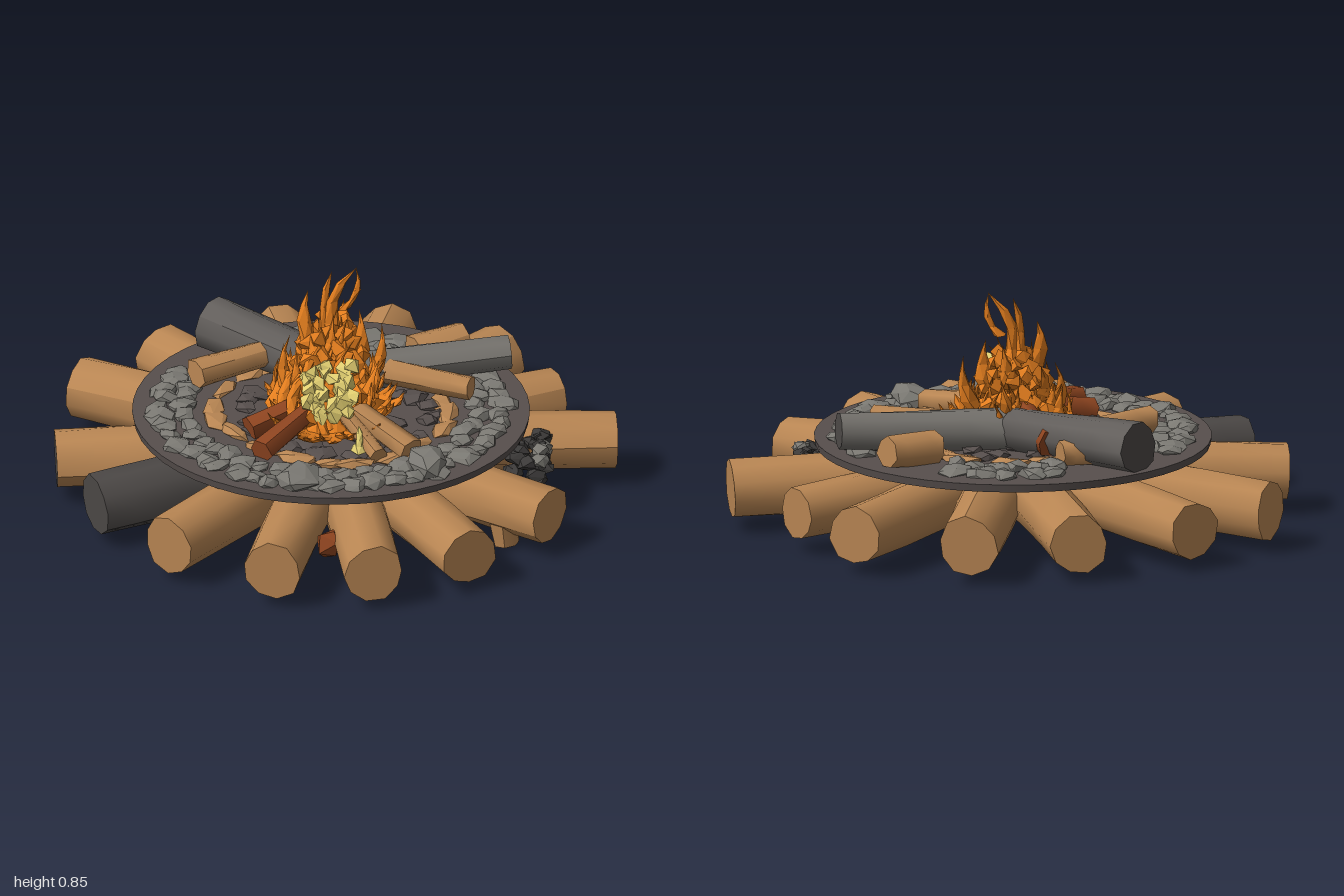
import * as THREE from 'three';
import { ConvexGeometry } from 'three/addons/geometries/ConvexGeometry.js';

const V = (x, y, z) => new THREE.Vector3(x, y, z);
const material = (name, color) => {
  const m = new THREE.MeshStandardMaterial({ color });
  m.name = name;
  return m;
};

export function createModel() {
  const model = new THREE.Group();
  let seed = 7;
  const rnd = (a = 0, b = 1) => {
    seed = (seed * 16807) % 2147483647;
    return a + (b - a) * (seed / 2147483647);
  };

  const wood = material('wood', 0xb98653);
  const ember = material('redWood', 0x8f4520);
  const ash = material('ashBed', 0x574f4d);
  const stone = material('stone', 0x7a7872);
  const burnt = material('burntWood', 0x74716c);
  const smoked = material('smokedWood', 0x625e5b);
  const charred = material('charredWood', 0x4c4846);
  const coal = material('coal', 0x3b3938);
  const flame = material('flame', 0xe27d1e);
  const flameCore = material('flameCore', 0xe0cd70);

  const add = (name, geo, mat, parent = model) => {
    const mesh = new THREE.Mesh(geo, mat);
    mesh.name = name;
    parent.add(mesh);
    return mesh;
  };
  const group = (name) => {
    const g = new THREE.Group();
    g.name = name;
    model.add(g);
    return g;
  };
  const flat = (geo) => {
    const g = geo.toNonIndexed();
    g.computeVertexNormals();
    return g;
  };

  // Uneven log from a to b, with smooth sides and sharp end faces
  function log(name, a, b, ra, rb, mat, parent, sides = 10, rough = 0.05) {
    const dir = b.clone().sub(a), len = dir.length();
    const geo = new THREE.CylinderGeometry(rb, ra, len, sides, 4);
    const p = geo.attributes.position, s = rnd(0, 6);
    for (let i = 0; i < p.count; i++) {
      const x = p.getX(i), z = p.getZ(i), y = p.getY(i), th = Math.atan2(z, x);
      const k = 1 + rough * (Math.sin(2 * th + s) + Math.sin(3 * th - s + y * 7) * 0.7);
      p.setXYZ(i, x * k, y, z * k);
    }
    geo.computeVertexNormals();
    geo.applyQuaternion(new THREE.Quaternion().setFromUnitVectors(V(0, 1, 0), dir.normalize()));
    geo.translate((a.x + b.x) / 2, (a.y + b.y) / 2, (a.z + b.z) / 2);
    return add(name, geo, mat, parent);
  }

  // Faceted lump: hull of scattered points on an ellipsoid
  function lump(name, c, sx, sy, sz, turn, mat, parent, n = 16) {
    const pts = [];
    for (let i = 0; i < n; i++) {
      const y = 1 - (2 * i + 1) / n, r = Math.sqrt(1 - y * y), a = i * 2.4 + rnd(-0.4, 0.4), k = rnd(0.85, 1.12);
      pts.push(V(r * Math.cos(a) * sx * k, y * sy * k, r * Math.sin(a) * sz * k));
    }
    const geo = new ConvexGeometry(pts);
    geo.rotateY(turn);
    geo.translate(c.x, c.y, c.z);
    return add(name, geo, mat, parent);
  }

  // Curved pointed tongue of fire
  function tongue(name, a, mid, b, r, mat, parent) {
    const curve = new THREE.QuadraticBezierCurve3(a, mid, b);
    const geo = new THREE.ConeGeometry(r, 1, 5, 4);
    const p = geo.attributes.position, s = rnd(0, 6);
    for (let i = 0; i < p.count; i++) {
      const t = p.getY(i) + 0.5, q = curve.getPoint(t);
      const w = 1 + 0.3 * Math.sin(t * 9 + s), c = Math.cos(t * 2 + s), n = Math.sin(t * 2 + s);
      const x = p.getX(i) * w, z = p.getZ(i) * w * 0.6;
      p.setXYZ(i, q.x + x * c - z * n, q.y, q.z + x * n + z * c);
    }
    return add(name, flat(geo), mat, parent);
  }

  // Wheel of base logs meeting under the middle, rising slightly inwards
  const base = group('baseLogs');
  const ends = [[-0.29, -0.905], [0.1, -0.95], [0.51, -0.82], [0.73, -0.53], [0.98, -0.2], [0.81, 0.41], [0.56, 0.76],
    [0.235, 0.925], [-0.125, 0.94], [-0.51, 0.78], [-0.8, 0.49], [-0.975, 0.15], [-0.945, -0.41], [-0.69, -0.7]];
  ends.forEach(([x, z], i) => {
    const outer = V(x, 0.14, z), inner = V(0, 0.175, 0);
    const cap = i === 11 ? charred : wood;
    if (i === 10) {
      const mid = outer.clone().lerp(inner, 0.48);
      log('baseLog', inner, mid, 0.115, 0.108, wood, base);
      log('charredLogEnd', mid, outer, 0.11, 0.106, charred, base);
    } else {
      log('baseLog', inner, outer, 0.115, i === 3 ? 0.095 : 0.107, [wood, cap, wood], base);
    }
  });
  log('logKnot', V(0.65, 0.0, 0.37), V(0.64, 0.12, 0.36), 0.045, 0.065, wood, base, 7);
  // Wood filling the gaps below the ash bed
  add('woodHub', flat(new THREE.CylinderGeometry(0.63, 0.4, 0.075, 14)), wood, base).position.y = 0.238;
  lump('glowingChip', V(0.05, 0.13, 0.68), 0.05, 0.06, 0.06, 0, ember, base, 10);

  // Ash bed resting on the logs
  const bed = new THREE.CylinderGeometry(0.705, 0.7, 0.028, 48);
  bed.scale(1, 1, 0.98);
  add('ashBed', bed, ash).position.set(-0.012, 0.288, -0.017);

  // Ring of closely packed stones, open at the back where the burnt logs lie
  const stones = group('stoneRing');
  const placeStones = (from, to, r, step, size) => {
    for (let d = from; d <= to; d += step) {
      const a = THREE.MathUtils.degToRad(d + rnd(-1.5, 1.5)), rr = r + rnd(-0.015, 0.015), s = size * rnd(0.85, 1.25);
      lump('stone', V(rr * Math.cos(a) - 0.012, 0.308, rr * Math.sin(a) - 0.017),
        s, rnd(0.02, 0.032), s * rnd(0.7, 1), rnd(0, 6), stone, stones);
    }
  };
  placeStones(-29, 204, 0.605, 7, 0.053);
  placeStones(-24, 200, 0.52, 8, 0.05);
  placeStones(252, 288, 0.57, 9, 0.06);
  placeStones(248, 292, 0.49, 8.5, 0.05);
  lump('largeStone', V(-0.07, 0.32, 0.56), 0.085, 0.05, 0.095, 0, stone, stones, 20);
  lump('largeStone', V(0.37, 0.325, 0.4), 0.065, 0.055, 0.11, 0.2, stone, stones, 20);

  // Wood chips and cinders inside the ring
  const litter = group('chipsAndCinders');
  for (let d = 0; d < 360; d += 18) {
    const a = THREE.MathUtils.degToRad(d + rnd(-5, 5)), r = rnd(0.39, 0.43);
    lump('woodChip', V(r * Math.cos(a), 0.308, r * Math.sin(a)), rnd(0.03, 0.055), 0.02, 0.085, -a, wood, litter, 12);
  }
  for (let i = 0; i < 30; i++) {
    const a = i * 2.4, r = rnd(0.22, 0.37), s = rnd(0.035, 0.06);
    lump('cinder', V(r * Math.cos(a), 0.308, r * Math.sin(a)), s, 0.02, s, a, ash, litter, 12);
  }

  // Large burnt logs at the back
  const fuel = group('firewood');
  log('burntLog', V(-0.03, 0.365, -0.18), V(-0.48, 0.385, -0.49), 0.085, 0.097, [smoked, charred, charred], fuel, 10, 0.06);
  log('burntLog', V(0.0, 0.365, -0.18), V(0.59, 0.395, -0.34), 0.075, 0.064, [burnt, charred, charred], fuel, 9, 0.06);
  // Fresh split logs lying around the fire
  [[-0.5, 0.385, -0.08, -0.27, 0.38, -0.28, 0.053], [0.13, 0.38, -0.2, 0.48, 0.38, -0.08, 0.045],
    [0.25, 0.35, -0.38, 0.41, 0.36, -0.5, 0.068], [0.31, 0.33, 0.33, 0.1, 0.375, 0.14, 0.048],
    [0.2, 0.325, 0.38, 0.06, 0.37, 0.16, 0.035], [-0.36, 0.345, -0.37, -0.2, 0.345, -0.44, 0.055],
  ].forEach(([a, b, c, d, e, f, r]) => log('splitLog', V(a, b, c), V(d, e, f), r, r * 0.9, wood, fuel, 7, 0.09));
  // Glowing red logs leaning into the flames
  [[-0.22, 0.33, 0.39, -0.06, 0.385, 0.14], [-0.28, 0.33, 0.22, -0.08, 0.38, 0.08], [-0.16, 0.36, -0.36, -0.05, 0.42, -0.1],
  ].forEach(([a, b, c, d, e, f]) => log('glowingLog', V(a, b, c), V(d, e, f), 0.048, 0.04, ember, fuel, 6, 0.09));

  // Flames: a solid heart wrapped in broad leaning tongues
  const fire = group('fire');
  tongue('flameHeart', V(-0.02, 0.3, 0.05), V(-0.01, 0.45, 0.0), V(0, 0.72, -0.08), 0.18, flame, fire);
  for (let i = 0; i < 60; i++) {
    const s = Math.sqrt((i + 0.5) / 60), a = i * 2.4;
    const x = -0.02 + 0.18 * s * Math.cos(a), z = 0.02 + 0.23 * s * Math.sin(a);
    const y = 0.31 + 0.14 * (1 - s), top = 0.4 + 0.25 * (1 - s) + rnd(0, 0.08);
    const tipX = x * 0.85 + rnd(-0.08, 0.08), tipZ = z * 0.75 - 0.07 + rnd(-0.06, 0.05);
    tongue('flameTongue', V(x, y, z), V(x * 1.15 + rnd(-0.05, 0.05), (y + top) / 2, z * 0.95), V(tipX, top, tipZ),
      rnd(0.035, 0.06), flame, fire);
  }
  // Broad shards thickening the body of the fire
  for (let i = 0; i < 56; i++) {
    const t = i / 55, a = i * 2.4, y = 0.35 + 0.27 * t, r = 1 - 0.7 * t;
    lump('flameShard', V(-0.015 + 0.165 * r * Math.cos(a), y, 0.04 - 0.12 * t + 0.2 * r * Math.sin(a)),
      rnd(0.015, 0.03), rnd(0.03, 0.045), rnd(0.035, 0.06), rnd(0, 6), flame, fire, 7);
  }
  // Low flames licking outwards over the firewood
  for (let i = 0; i < 36; i++) {
    const a = i * 2.4, c = Math.cos(a), n = Math.sin(a), k = rnd(0.85, 1.1), reach = n > 0 ? 0.34 : 0.25;
    tongue('lowFlame', V(0.15 * c, 0.33, 0.04 + reach * 0.6 * n), V(0.22 * c * k, 0.345, 0.04 + reach * 0.85 * n * k),
      V(0.245 * c * k, rnd(0.35, 0.42), 0.04 + reach * n * k), rnd(0.04, 0.06), flame, fire);
  }
  // Tall tips
  [[0.0, 0.55, -0.05, -0.06, 0.72, -0.07, 0.075, 0.84, -0.08, 0.055], [-0.03, 0.55, -0.06, -0.06, 0.7, -0.05, -0.015, 0.82, -0.08, 0.045],
    [0.03, 0.68, -0.07, 0.1, 0.74, -0.08, 0.07, 0.84, -0.08, 0.025], [-0.07, 0.5, -0.03, -0.14, 0.64, -0.05, -0.1, 0.74, -0.08, 0.05],
    [0.06, 0.46, -0.04, 0.11, 0.58, -0.06, 0.08, 0.67, -0.09, 0.05], [0.11, 0.38, -0.05, 0.18, 0.5, -0.08, 0.16, 0.61, -0.1, 0.045],
    [-0.14, 0.36, 0.02, -0.22, 0.46, 0, -0.16, 0.58, -0.04, 0.045], [0, 0.36, -0.14, 0, 0.48, -0.23, 0.02, 0.56, -0.23, 0.05],
    [-0.02, 0.48, -0.08, 0.0, 0.56, -0.16, 0.02, 0.67, -0.16, 0.06], [0.01, 0.48, 0, -0.02, 0.58, 0.03, 0, 0.69, 0, 0.05],
  ].forEach(([a, b, c, d, e, f, g, h, k, r]) => tongue('flameTip', V(a, b, c), V(d, e, f), V(g, h, k), r, flame, fire));
  // Pale heart showing on the front slope
  for (let i = 0; i < 24; i++) {
    const y = 0.39 + 0.15 * (i / 23), w = 0.095 * Math.sqrt(1 - ((y - 0.465) / 0.13) ** 2);
    const x = 0.005 + (i % 2 ? 1 : -1) * rnd(0.1, 1) * w, z = 0.215 - 0.75 * (y - 0.39);
    lump('paleFlame', V(x, y, z), rnd(0.025, 0.045), rnd(0.03, 0.05), rnd(0.025, 0.04), rnd(0, 6), flameCore, fire, 8);
  }
  tongue('paleFlame', V(0.12, 0.33, 0.34), V(0.13, 0.37, 0.34), V(0.12, 0.41, 0.31), 0.035, flameCore, fire);

  // Heap of coal tucked between the logs on the left side
  const heap = group('coalHeap');
  for (let i = 0; i < 28; i++) {
    const s = rnd(0.025, 0.045);
    lump('coal', V(0.7 + rnd(-0.06, 0.06), rnd(0.085, 0.225), 0.055 + rnd(-0.12, 0.11)), s, s * 0.7, s, i, coal, heap, 10);
  }
  [[0.21, 0.13], [0.2, 0.0], [0.22, 0.07], [0.16, -0.04]].forEach(([y, z]) =>
    lump('coalLump', V(0.74, y, z), 0.04, 0.025, 0.04, y * 9, stone, heap, 12));

  return model;
}
